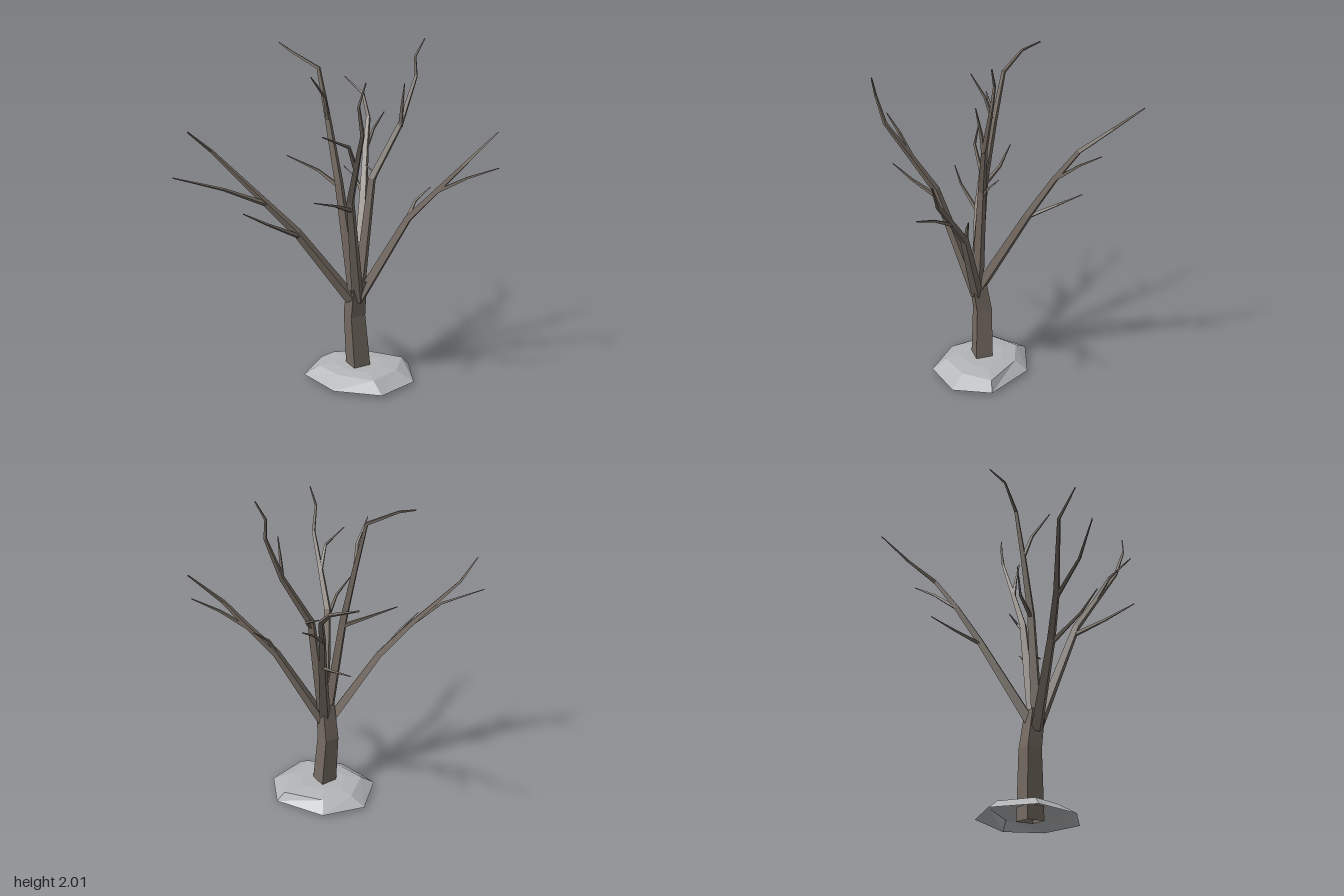
import * as THREE from 'three';

const bark = new THREE.MeshStandardMaterial({ color: 0x746a61, flatShading: true, side: THREE.DoubleSide });
bark.name = 'bark';
const stone = new THREE.MeshStandardMaterial({ color: 0xb2b4b6, flatShading: true, side: THREE.DoubleSide });
stone.name = 'stone';

// Shell from a stack of rings, open at the first ring and closed at the last
function loft(rings) {
  const n = rings[0].length, pos = [], index = [];
  rings.forEach(r => r.forEach(p => pos.push(p.x, p.y, p.z)));
  for (let i = 0; i < rings.length - 1; i++)
    for (let j = 0; j < n; j++) {
      const a = i * n + j, b = i * n + (j + 1) % n;
      index.push(a, b, b + n, a, b + n, a + n);
    }
  const top = (rings.length - 1) * n;
  for (let j = 1; j < n - 1; j++) index.push(top, top + j, top + j + 1);
  const g = new THREE.BufferGeometry();
  g.setAttribute('position', new THREE.Float32BufferAttribute(pos, 3));
  g.setIndex(index);
  const flat = g.toNonIndexed();
  flat.computeVertexNormals();
  return flat;
}

// Four-sided limb along a bent path; radius(t) for t from 0 to 1 along its length
function limb(points, radius, turn) {
  const pts = points.map(p => new THREE.Vector3(...p));
  const dist = [0];
  for (let i = 1; i < pts.length; i++) dist.push(dist[i - 1] + pts[i].distanceTo(pts[i - 1]));
  const q = new THREE.Quaternion(), step = new THREE.Quaternion();
  const dir = new THREE.Vector3(0, 1, 0);
  const rings = pts.map((p, i) => {
    const t = new THREE.Vector3();
    if (i > 0) t.add(pts[i].clone().sub(pts[i - 1]).normalize());
    if (i < pts.length - 1) t.add(pts[i + 1].clone().sub(pts[i]).normalize());
    t.normalize();
    q.premultiply(step.setFromUnitVectors(dir, t));
    dir.copy(t);
    const r = radius(dist[i] / dist[dist.length - 1]);
    return [0, 1, 2, 3].map(k => {
      const a = k * Math.PI / 2 + turn;
      return new THREE.Vector3(Math.cos(a) * r, 0, -Math.sin(a) * r).applyQuaternion(q).add(p);
    });
  });
  return loft(rings);
}

// Each bough: main path first, then its side twigs
const boughs = {
  backBough: [
    [[0.04, 0.56, 0.1], [-0.03, 1.08, -0.19], [-0.07, 1.31, -0.33], [-0.1, 1.49, -0.46], [-0.19, 1.615, -0.61], [-0.36, 1.71, -0.72]],
    [[-0.07, 1.3, -0.32], [-0.07, 1.42, -0.48], [-0.05, 1.505, -0.62]],
    [[-0.03, 1.06, -0.18], [-0.13, 1.13, -0.32], [-0.25, 1.175, -0.42]],
  ],
  leftBough: [
    [[0.05, 0.5, 0.115], [0.32, 1.0, 0.02], [0.48, 1.17, -0.01], [0.62, 1.32, -0.025], [0.79, 1.505, -0.115]],
    [[0.47, 1.16, -0.01], [0.65, 1.255, -0.02], [0.82, 1.32, -0.035]],
    [[0.31, 0.99, 0.02], [0.35, 1.1, -0.02], [0.42, 1.17, -0.075]],
  ],
  rightFrontBough: [
    [[0.015, 0.51, 0.14], [-0.25, 0.93, 0.3], [-0.42, 1.12, 0.375], [-0.69, 1.4, 0.46], [-0.77, 1.52, 0.57]],
    [[-0.4, 1.1, 0.37], [-0.58, 1.21, 0.54], [-0.82, 1.28, 0.66]],
    [[-0.24, 0.91, 0.3], [-0.34, 1.02, 0.49], [-0.43, 1.1, 0.6]],
  ],
  frontBough: [
    [[0.05, 0.5, 0.12], [0.1, 1.16, 0.37], [0.18, 1.375, 0.49], [0.255, 1.57, 0.6], [0.255, 1.72, 0.655], [0.29, 1.835, 0.65]],
    [[0.175, 1.365, 0.48], [0.17, 1.5, 0.57], [0.09, 1.57, 0.72]],
    [[0.095, 1.11, 0.36], [0.09, 1.18, 0.55], [0.045, 1.235, 0.73]],
  ],
  tallLeftBough: [
    [[0.055, 0.57, 0.11], [0.105, 1.22, 0.04], [0.24, 1.53, -0.065], [0.3, 1.79, -0.15], [0.29, 1.9, -0.16], [0.34, 2, -0.175]],
    [[0.24, 1.51, -0.06], [0.25, 1.62, -0.05], [0.27, 1.76, -0.03]],
    [[0.1, 1.18, 0.045], [0.12, 1.24, 0.0], [0.04, 1.28, -0.03]],
  ],
  tallRightBough: [
    [[0.03, 0.57, 0.14], [-0.06, 1.2, 0.135], [-0.135, 1.56, 0.11], [-0.2, 1.84, 0.085], [-0.38, 1.93, 0.07], [-0.48, 1.97, 0.005]],
    [[-0.06, 1.18, 0.135], [-0.2, 1.26, 0.11], [-0.38, 1.34, 0.145]],
    [[-0.135, 1.55, 0.11], [-0.13, 1.69, 0.165], [-0.16, 1.81, 0.285]],
  ],
};

export function createModel() {
  const model = new THREE.Group();
  model.name = 'bareTree';
  const add = (parent, name, geometry, material) => {
    const mesh = new THREE.Mesh(geometry, material);
    mesh.name = name;
    parent.add(mesh);
  };

  // Flat hollow stone: wide foot, uneven shoulder and a slightly raised top
  const foot = [[-0.26, 0.22], [-0.01, 0.36], [0.27, 0.315], [0.39, 0.08], [0.29, -0.14], [-0.03, -0.2], [-0.26, -0.05]];
  const rim = [[-0.18, 0.18], [-0.02, 0.26], [0.2, 0.26], [0.28, 0.08], [0.25, -0.11], [-0.01, -0.12], [-0.17, -0.03]];
  const ring = (list, y) => list.map(([x, z]) => new THREE.Vector3(x, y, z));
  const centre = new THREE.Vector3(0.045, 0.08, 0.09);
  const crown = ring(rim, 0.08).map(p => p.lerp(centre, 0.4));
  add(model, 'baseStone', loft([ring(foot, 0.012), ring(rim, 0.068), crown]), stone);

  // Bent trunk
  add(model, 'trunk', limb([[0.045, 0, 0.09], [0.02, 0.4, 0.1], [0.045, 0.625, 0.122]], t => 0.078 - 0.018 * t, 0.08), bark);

  // Boughs and twigs taper to points
  const turn = Math.PI / 4;
  for (const [name, [main, ...twigs]] of Object.entries(boughs)) {
    const group = new THREE.Group();
    group.name = name;
    add(group, 'limb', limb(main, t => 0.004 + 0.034 * (1 - t) ** 0.85, turn), bark);
    twigs.forEach(path => add(group, 'twig', limb(path, t => 0.003 + 0.012 * (1 - t), turn), bark));
    model.add(group);
  }
  return model;
}
